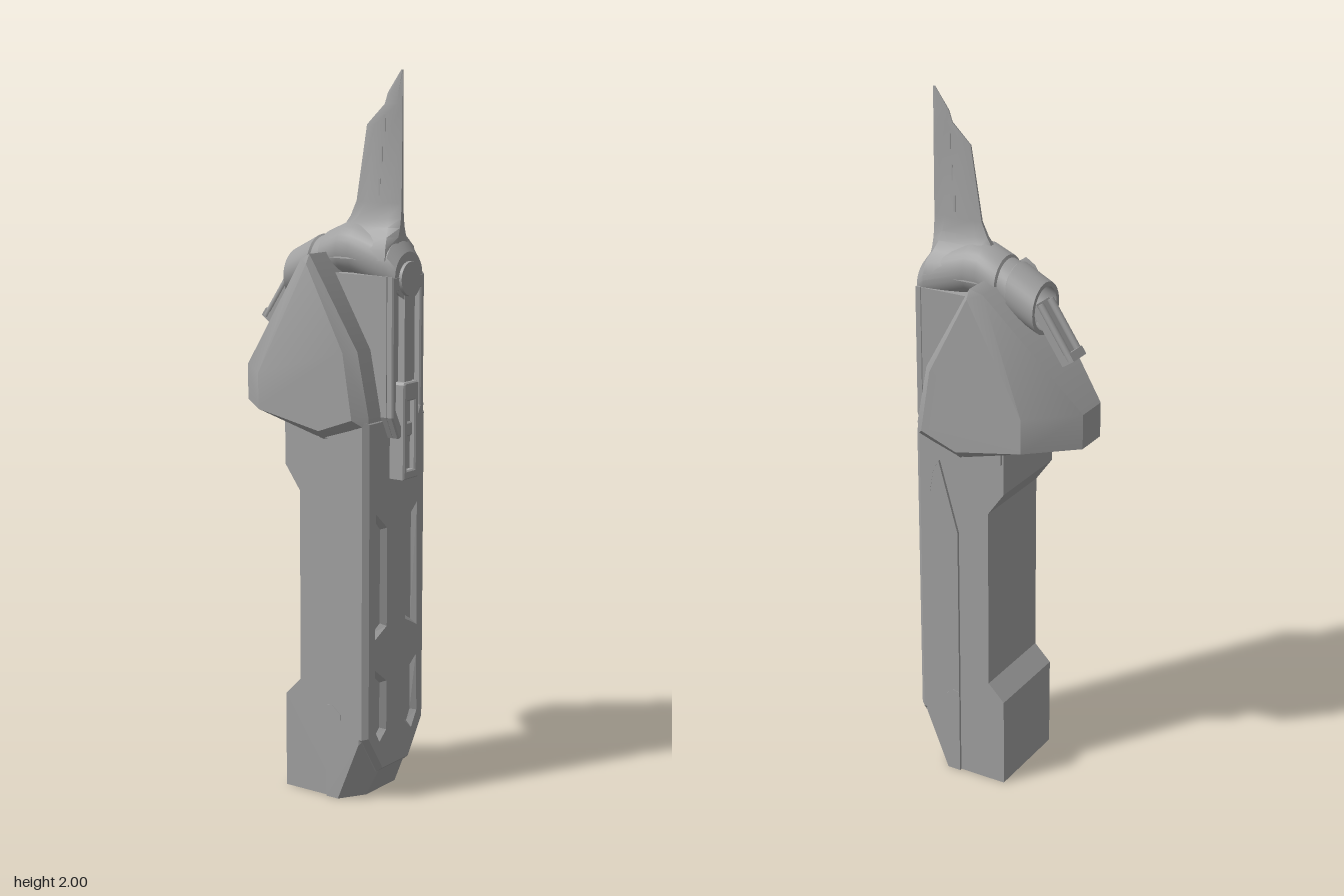
import * as THREE from 'three';
import { toCreasedNormals } from 'three/addons/utils/BufferGeometryUtils.js';
import { ConvexGeometry } from 'three/addons/geometries/ConvexGeometry.js';

const darkGrey = new THREE.MeshStandardMaterial({ color: 0xa0a0a0 });

function add(parent, name, geometry, x = 0, y = 0, z = 0) {
  const mesh = new THREE.Mesh(geometry, darkGrey);
  mesh.name = name;
  mesh.position.set(x, y, z);
  parent.add(mesh);
  return mesh;
}

const vectors = pts => pts.map(p => new THREE.Vector2(p[0], p[1]));

// Outline given for +x, mirrored to -x
const mirrored = half => new THREE.Shape(vectors([...half, ...half.map(([x, y]) => [-x, y]).reverse()]));

const flat = (shape, depth, size = 0, thickness = size) => new THREE.ExtrudeGeometry(shape, {
  depth: depth - 2 * thickness, bevelEnabled: size > 0, bevelSize: size, bevelThickness: thickness,
  bevelOffset: -size, bevelSegments: 1, curveSegments: 12,
}).translate(0, 0, thickness);

// Side outline [z, y] extruded across x
const sideSlab = (pts, width) =>
  flat(new THREE.Shape(vectors(pts)), width).rotateY(-Math.PI / 2).translate(width / 2, 0, 0);

// Hull of [x, y, z] corners mirrored in x
const hull = pts => new ConvexGeometry(pts.flatMap(([x, y, z]) =>
  [new THREE.Vector3(x, y, z), new THREE.Vector3(-x, y, z)]));

// Skin over equal-length rings of [x, y, z], capped at both ends
function loft(rings, crease) {
  const n = rings[0].length, index = [];
  for (let r = 0; r < rings.length - 1; r++) {
    for (let i = 0; i < n; i++) {
      const a = r * n + i, b = r * n + (i + 1) % n;
      index.push(a, b, b + n, a, b + n, a + n);
    }
  }
  const last = (rings.length - 1) * n;
  for (let i = 1; i < n - 1; i++) index.push(0, i + 1, i, last, last + i, last + i + 1);
  const g = new THREE.BufferGeometry();
  g.setAttribute('position', new THREE.Float32BufferAttribute(rings.flat(2), 3));
  g.setIndex(index);
  return toCreasedNormals(g, crease);
}

function buildHandle() {
  const handle = new THREE.Group();
  handle.name = 'handle';
  // Rear core with a recessed grip
  add(handle, 'gripCore', sideSlab([
    [0.12, 0], [0.185, 0.2], [0.185, 1.08], [-0.065, 1.08], [-0.065, 0.93], [-0.015, 0.86],
    [-0.015, 0.32], [-0.065, 0.27], [-0.065, 0],
  ], 0.27));
  // Front shell with chamfered foot
  add(handle, 'frontShell', hull([
    [0.143, 0, 0.08], [0.143, 0.78, 0.08], [0.143, 1.08, 0.165],
    [0.143, 0, 0.12], [0.143, 0.17, 0.19], [0.143, 1.08, 0.19],
    [0.135, 0.18, 0.2], [0.135, 1.08, 0.2], [0.06, 0.075, 0.2], [0.07, 0, 0.165],
  ]));
  // Band curving back under the head
  add(handle, 'neckBand', sideSlab([
    [0.18, 0.89], [0.18, 1.08], [-0.06, 1.08], [-0.06, 1.02], [0.09, 1.02], [0.14, 0.99], [0.158, 0.95], [0.168, 0.89],
  ], 0.287));
  // Front plate with four shallow sloped dents
  const plate = mirrored([[0.07, 0.075], [0.143, 0.185], [0.143, 1.08]]);
  for (const s of [1, -1]) {
    for (const pts of [
      [[0.092, 0.48], [0.092, 0.8], [0.058, 0.765], [0.058, 0.5]],
      [[0.075, 0.185], [0.092, 0.215], [0.092, 0.36], [0.058, 0.33], [0.058, 0.2]],
    ]) plate.holes.push(new THREE.Path(vectors(pts.map(([x, y]) => [s * x, y]))));
  }
  add(handle, 'frontPlate', flat(plate, 0.045, 0.013, 0.015), 0, 0, 0.17);
  // Small side catches
  for (const s of [1, -1]) add(handle, 'sideCatch', sideSlab(
    [[0.08, 0.25], [0.1, 0.255], [0.13, 0.23], [0.13, 0.245], [0.1, 0.27], [0.08, 0.265]], 0.006), s * 0.1415);
  return handle;
}

// Wide faceted head, widest at the sides and narrowing to the rear
function buildHead() {
  return toCreasedNormals(hull([
    [0.05, 1.18, -0.262], [0.05, 1.08, -0.262], [0.165, 1.18, -0.135], [0.165, 1.08, -0.135],
    [0.05, 1.075, -0.16], [0.15, 1.515, 0.03], [0.165, 1.49, 0.03], [0.14, 1.5, -0.005],
    [0.165, 1.04, 0.07], [0.14, 1.015, 0.07], [0.165, 1.26, 0.15], [0.165, 1.08, 0.18],
    [0.135, 1.26, 0.178], [0.132, 1.09, 0.212], [0.13, 1.05, 0.212], [0.1, 1.39, -0.09],
  ]), 0.65);
}

function buildBarrel() {
  const barrel = new THREE.Group();
  barrel.name = 'barrel';
  // Stations: z, centre height, radius
  const stations = [
    [-0.06, 1.465, 0.055], [-0.117, 1.44, 0.06], [-0.117, 1.44, 0.073], [-0.035, 1.48, 0.075],
    [-0.03, 1.482, 0.069], [-0.004, 1.492, 0.069], [0, 1.494, 0.075], [0.06, 1.52, 0.075],
    [0.1, 1.52, 0.075], [0.225, 1.48, 0.075], [0.25, 1.457, 0.065],
  ];
  add(barrel, 'tube', loft(stations.map(([z, cy, r]) => Array.from({ length: 32 }, (_, i) => {
    const a = i / 32 * Math.PI * 2;
    return [r * Math.cos(a), cy + r * Math.sin(a), z];
  })), 0.5));
  add(barrel, 'frontCap', new THREE.CylinderGeometry(0.046, 0.05, 0.02, 24).rotateX(Math.PI / 2), 0, 1.45, 0.248);
  // Twin rods and plate sloping from the rear opening
  const slide = new THREE.Group();
  slide.name = 'rearSlide';
  slide.position.set(0, 1.385, -0.158);
  slide.rotation.x = -0.98;
  add(slide, 'slidePlate', new THREE.BoxGeometry(0.07, 0.022, 0.18), 0, -0.012, 0);
  add(slide, 'slideEnd', new THREE.BoxGeometry(0.07, 0.036, 0.025), 0, 0, -0.078);
  for (const s of [1, -1]) {
    add(slide, 'slideRod', new THREE.CylinderGeometry(0.01, 0.01, 0.17, 12).rotateX(Math.PI / 2), s * 0.027, 0.006, 0);
  }
  barrel.add(slide);
  return barrel;
}

function buildFin() {
  const fin = new THREE.Group();
  fin.name = 'fin';
  // Sections: height, half width, rear z, front z, share of length tapered at each end
  const sections = [
    [1.5, 0.074, 0.02, 0.235, 0.06], [1.53, 0.068, 0.025, 0.232, 0.06], [1.56, 0.046, 0.035, 0.228, 0.1],
    [1.585, 0.028, 0.045, 0.228, 0.15], [1.61, 0.017, 0.062, 0.228, 0.2], [1.65, 0.011, 0.08, 0.228, 0.25],
    [1.855, 0.007, 0.113, 0.228, 0.25], [1.91, 0.006, 0.17, 0.228, 0.25],
    [1.94, 0.005, 0.18, 0.228, 0.25], [2, 0.002, 0.222, 0.228, 0.25],
  ];
  add(fin, 'finBlade', loft(sections.map(([y, w, b, f, taper]) => {
    const m = (f - b) * taper;
    return [[-w, y, b + m], [-w, y, f - m], [-w * 0.4, y, f], [w * 0.4, y, f],
      [w, y, f - m], [w, y, b + m], [w * 0.3, y, b], [-w * 0.3, y, b]];
  }), 0.6));
  // Row of thin slots along the blade
  for (let i = 0; i < 3; i++) {
    add(fin, 'finSlot', new THREE.BoxGeometry(0.0225 - i * 0.003, 0.045, 0.005), 0, 1.69 + i * 0.085, 0.16 + i * 0.007);
  }
  return fin;
}

function buildFrontRail() {
  const rail = new THREE.Group();
  rail.name = 'frontRail';
  const outline = () => mirrored([[0.045, 1.02], [0.075, 1.08], [0.075, 1.46]]);
  add(rail, 'railBack', flat(outline(), 0.17), 0, 0, 0.06);
  // Open frame around the sliding rod
  const frame = outline();
  frame.holes.push(new THREE.Path(vectors(
    [[-0.035, 1.06], [-0.056, 1.1], [-0.056, 1.42], [0.056, 1.42], [0.056, 1.1], [0.035, 1.06]])));
  add(rail, 'railFrame', flat(frame, 0.022, 0.004), 0, 0, 0.229);
  add(rail, 'railRod', new THREE.BoxGeometry(0.038, 0.3, 0.025), 0, 1.28, 0.238);
  // Slotted catch at the lower end
  const clip = mirrored([[0.035, 0.905], [0.035, 1.165], [0.03, 1.172]]);
  clip.holes.push(new THREE.Path(vectors([[-0.018, 0.93], [-0.018, 1.12], [0.018, 1.12], [0.018, 0.93]])));
  add(rail, 'clip', flat(clip, 0.055, 0.004), 0, 0, 0.207);
  add(rail, 'clipSlide', new THREE.BoxGeometry(0.036, 0.2, 0.035), 0, 1.025, 0.227);
  return rail;
}

export function createModel() {
  const model = new THREE.Group();
  model.name = 'finnedGrip';
  model.add(buildHandle(), buildBarrel(), buildFrontRail(), buildFin());
  add(model, 'head', buildHead());
  return model;
}
